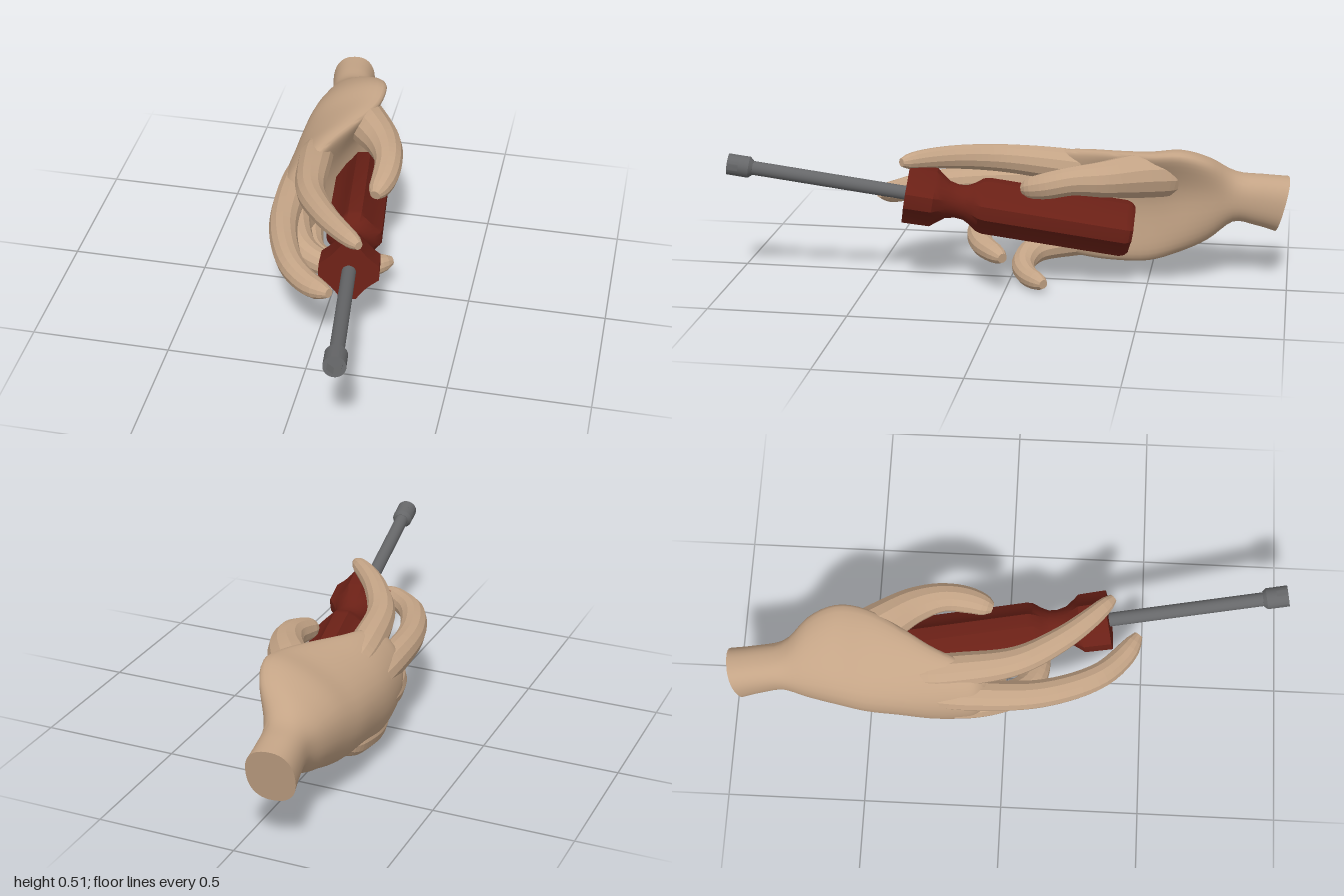
import * as THREE from 'three';
import { toCreasedNormals } from 'three/addons/utils/BufferGeometryUtils.js';

const skin = new THREE.MeshStandardMaterial({ color: 0xc4a486 });
const skinFacet = new THREE.MeshStandardMaterial({ color: 0xc4a486, flatShading: true });
const red = new THREE.MeshStandardMaterial({ color: 0x6a2016 });
const steel = new THREE.MeshStandardMaterial({ color: 0x666769 });

// Smooth interpolation through rows of numbers, t from 0 to 1
function sample(rows, t) {
  const n = rows.length - 1;
  const i = Math.min(Math.floor(t * n), n - 1);
  const f = t * n - i;
  const at = (k) => rows[Math.max(0, Math.min(n, k))];
  return rows[i].map((b, c) => {
    const a = at(i - 1)[c], d = at(i + 1)[c], e = at(i + 2)[c];
    return b + 0.5 * f * (d - a + f * (2 * a - 5 * b + 4 * d - e + f * (3 * (b - d) + e - a)));
  });
}

// Skin over rings of points (counter-clockwise about the travel direction), capped at both ends
function loft(rings, crease = 0.6) {
  const pos = [], idx = [];
  const m = rings[0].length, last = rings.length - 1;
  for (const ring of rings) for (const p of ring) pos.push(p.x, p.y, p.z);
  for (let i = 0; i < last; i++) {
    for (let k = 0; k < m; k++) {
      const a = i * m + k, b = i * m + ((k + 1) % m);
      idx.push(a, b, b + m, a, b + m, a + m);
    }
  }
  for (const end of [0, last]) {
    const c = new THREE.Vector3();
    rings[end].forEach((p) => c.addScaledVector(p, 1 / m));
    const ci = pos.length / 3;
    pos.push(c.x, c.y, c.z);
    for (let k = 0; k < m; k++) {
      const a = end * m + k, b = end * m + ((k + 1) % m);
      if (end) idx.push(ci, a, b);
      else idx.push(ci, b, a);
    }
  }
  const g = new THREE.BufferGeometry();
  g.setAttribute('position', new THREE.Float32BufferAttribute(pos, 3));
  g.setIndex(idx);
  return toCreasedNormals(g, crease);
}

function add(parent, name, geometry, material) {
  const mesh = new THREE.Mesh(geometry, material);
  mesh.name = name;
  parent.add(mesh);
}

// Finger along rows of x, y, z, radius, with a tapered root and a blunt tip
function fingerGeometry(rows, sides = 12, steps = 32) {
  const curve = new THREE.CatmullRomCurve3(rows.map((r) => new THREE.Vector3(r[0], r[1], r[2])));
  const frames = curve.computeFrenetFrames(steps);
  const rings = [];
  for (let i = 0; i <= steps; i++) {
    const u = i / steps;
    const centre = curve.getPointAt(u);
    const tip = Math.max(0, (u - 0.93) / 0.07), root = Math.max(0, 1 - u / 0.16);
    const r = sample(rows, curve.getUtoTmapping(u))[3] * Math.sqrt(1 - 0.7 * tip * tip - 0.96 * root * root);
    rings.push(Array.from({ length: sides }, (_, k) => {
      const a = (k / sides) * Math.PI * 2;
      return centre.clone()
        .addScaledVector(frames.normals[i], r * Math.cos(a))
        .addScaledVector(frames.binormals[i], r * Math.sin(a));
    }));
  }
  return loft(rings);
}

// Wrist and cupped palm: z, centre x, centre y, half thickness, half height, upper curl, lower curl
function palmGeometry() {
  const rows = [
    [-0.97, -0.125, 0.29, 0.083, 0.1, 0, 0],
    [-0.89, -0.113, 0.305, 0.08, 0.092, 0, 0],
    [-0.8, -0.1, 0.318, 0.083, 0.092, 0.01, 0],
    [-0.71, -0.095, 0.32, 0.108, 0.158, 0.09, 0.02],
    [-0.61, -0.103, 0.315, 0.12, 0.198, 0.14, 0.05],
    [-0.5, -0.125, 0.29, 0.112, 0.212, 0.16, 0.07],
    [-0.38, -0.146, 0.277, 0.094, 0.212, 0.13, 0.07],
    [-0.27, -0.164, 0.268, 0.078, 0.208, 0.09, 0.05],
    [-0.18, -0.176, 0.268, 0.062, 0.195, 0.07, 0.04],
    [-0.11, -0.181, 0.275, 0.048, 0.16, 0.05, 0.03],
    [-0.07, -0.184, 0.28, 0.02, 0.12, 0.05, 0.03],
  ];
  const steps = 40, sides = 40, rings = [];
  const square = (c) => Math.sign(c) * Math.abs(c) ** 0.85;
  for (let i = 0; i <= steps; i++) {
    const [z, cx, cy, rx, ry, up, low] = sample(rows, i / steps);
    const tilt = Math.max(0, 1 - (z + 0.97) / 0.2);
    rings.push(Array.from({ length: sides }, (_, k) => {
      const a = (k / sides) * Math.PI * 2, h = square(Math.cos(a)), v = square(Math.sin(a));
      const curl = (v > 0 ? up : low) * v * v;
      return new THREE.Vector3(cx + rx * h + curl, cy + ry * v, z - tilt * (0.024 * v + 0.01 * h));
    }));
  }
  return loft(rings, 0.9);
}

// Four-lobed handle with scooped flats and a round neck: distance, radius, lobe amount
function handleGeometry() {
  const stations = [
    [0, 0.084, 1], [0.012, 0.096, 1], [0.03, 0.102, 1], [0.53, 0.102, 1], [0.553, 0.096, 0.6], [0.58, 0.076, 0.1],
    [0.605, 0.063, 0], [0.635, 0.06, 0], [0.67, 0.068, 0], [0.7, 0.09, 0.5], [0.72, 0.106, 1], [0.82, 0.108, 1],
  ];
  const section = [[-14, 1], [0, 0.985], [14, 1], [29, 0.85], [45, 0.8], [61, 0.85]];
  const rings = stations.map(([s, r, lobe]) => {
    const ring = [];
    for (let q = 0; q < 4; q++) {
      for (const [deg, f] of section) {
        const a = THREE.MathUtils.degToRad(deg + q * 90), rr = r * (1 + (f - 1) * lobe);
        ring.push(new THREE.Vector3(rr * Math.cos(a), rr * Math.sin(a), s));
      }
    }
    return ring;
  });
  return loft(rings, 0.45);
}

// Cylinder along z between two distances
function rod(r0, r1, from, to) {
  return new THREE.CylinderGeometry(r1, r0, to - from, 24).rotateX(Math.PI / 2).translate(0, 0, (from + to) / 2);
}

function makeDriver() {
  const driver = new THREE.Group();
  driver.name = 'nutDriver';
  add(driver, 'handle', handleGeometry(), red);
  add(driver, 'shaft', rod(0.025, 0.025, 0.81, 1.4), steel);
  add(driver, 'socketShoulder', rod(0.027, 0.038, 1.375, 1.388), steel);
  add(driver, 'socketBase', rod(0.038, 0.038, 1.388, 1.425), steel);
  // Hexagonal opening in the socket
  const rim = new THREE.Shape().absarc(0, 0, 0.038, 0, Math.PI * 2, false);
  const hex = new THREE.Path();
  hex.setFromPoints(Array.from({ length: 7 }, (_, k) => {
    const a = -(k * Math.PI) / 3 + 0.4;
    return new THREE.Vector2(0.028 * Math.cos(a), 0.028 * Math.sin(a));
  }));
  rim.holes.push(hex);
  const socket = new THREE.ExtrudeGeometry(rim, { depth: 0.04, bevelEnabled: false, curveSegments: 24 });
  add(driver, 'socketRim', toCreasedNormals(socket.translate(0, 0, 1.425), 0.5), steel);
  driver.position.set(0.02, 0.211, -0.44);
  driver.quaternion.setFromUnitVectors(new THREE.Vector3(0, 0, 1), new THREE.Vector3(0.187, 0.237, 1.44).normalize());
  return driver;
}

export function createModel() {
  const model = new THREE.Group();
  model.name = 'handHoldingNutDriver';
  const hand = new THREE.Group();
  hand.name = 'hand';
  model.add(hand, makeDriver());
  add(hand, 'palm', palmGeometry(), skin);

  // Digits as x, y, z, radius from knuckle to tip
  const digits = {
    thumb: [[-0.06, 0.4, -0.63, 0.075], [0.03, 0.415, -0.47, 0.08], [0.115, 0.42, -0.34, 0.065],
      [0.15, 0.42, -0.24, 0.052], [0.153, 0.4, -0.15, 0.048], [0.135, 0.38, -0.06, 0.036]],
    indexFinger: [[-0.13, 0.38, -0.37, 0.06], [-0.115, 0.405, -0.17, 0.062], [-0.08, 0.43, 0.04, 0.052],
      [0, 0.45, 0.19, 0.044], [0.08, 0.46, 0.29, 0.037], [0.16, 0.465, 0.37, 0.028]],
    middleFinger: [[-0.165, 0.31, -0.37, 0.055], [-0.18, 0.325, -0.13, 0.058], [-0.162, 0.323, 0.13, 0.051],
      [-0.085, 0.317, 0.33, 0.047], [0, 0.312, 0.42, 0.042], [0.077, 0.324, 0.47, 0.031]],
    ringFinger: [[-0.165, 0.23, -0.37, 0.055], [-0.174, 0.22, -0.12, 0.058], [-0.1, 0.195, 0.07, 0.052],
      [0, 0.176, 0.115, 0.045], [0.1, 0.156, 0.09, 0.042], [0.21, 0.142, 0.0, 0.033]],
    littleFinger: [[-0.14, 0.145, -0.46, 0.055], [-0.145, 0.107, -0.23, 0.056], [-0.1, 0.08, -0.08, 0.05],
      [0, 0.056, -0.045, 0.043], [0.08, 0.04, -0.07, 0.038], [0.16, 0.034, -0.14, 0.031]],
  };
  for (const [name, rows] of Object.entries(digits)) add(hand, name, fingerGeometry(rows), skinFacet);
  return model;
}
